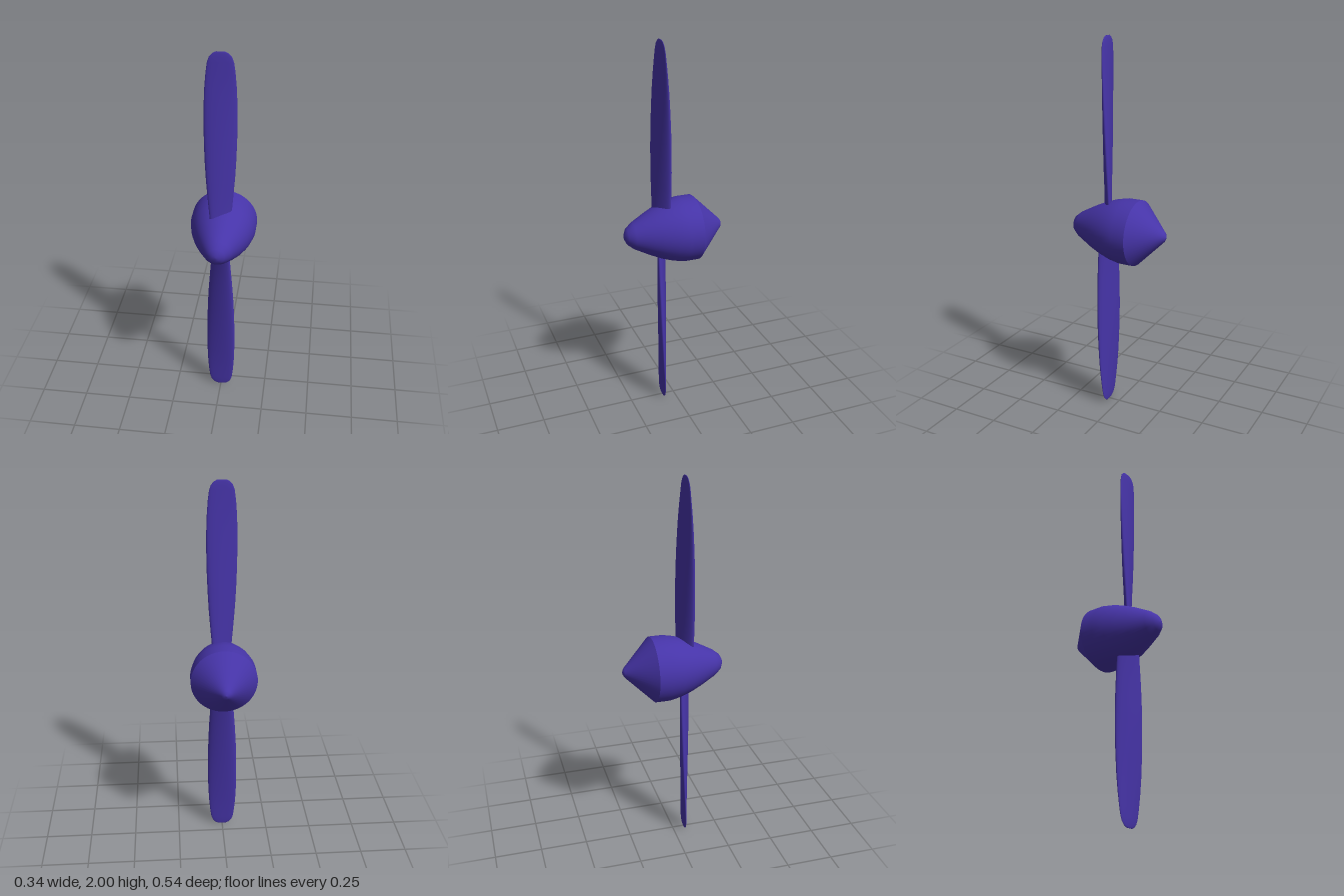
import * as THREE from 'three';

const material = new THREE.MeshStandardMaterial({ color: 0x4634a8 });

// Blade stations: height from the centre, half chord, half thickness, pitch in degrees
const STATIONS = [
  [0.05, 0.056, 0.017, 37],
  [0.15, 0.062, 0.018, 31],
  [0.25, 0.069, 0.020, 27],
  [0.35, 0.075, 0.022, 23],
  [0.45, 0.079, 0.022, 20],
  [0.55, 0.081, 0.021, 17],
  [0.65, 0.081, 0.019, 14],
  [0.75, 0.079, 0.016, 11],
  [0.83, 0.075, 0.013, 8],
  [0.90, 0.069, 0.010, 5],
  [0.95, 0.062, 0.008, 3],
  [0.975, 0.053, 0.006, 2],
  [0.992, 0.038, 0.004, 1],
  [1.0, 0.022, 0.002, 0],
  [1.0, 0.0001, 0.0001, 0],
];

// Twisted blade lofted through oval sections
function bladeGeometry(sides = 28) {
  const pos = [], index = [];
  STATIONS.forEach(([y, chord, thick, pitch], i) => {
    const a = THREE.MathUtils.degToRad(pitch);
    for (let j = 0; j < sides; j++) {
      const t = (j / sides) * Math.PI * 2;
      const u = chord * Math.cos(t), v = thick * Math.sin(t);
      pos.push(u * Math.cos(a) + v * Math.sin(a), y, -u * Math.sin(a) + v * Math.cos(a));
      if (i === 0) continue;
      const k = (j + 1) % sides, lo = (i - 1) * sides, hi = i * sides;
      index.push(lo + j, hi + j, lo + k, lo + k, hi + j, hi + k);
    }
  });
  const geo = new THREE.BufferGeometry();
  geo.setAttribute('position', new THREE.Float32BufferAttribute(pos, 3));
  geo.setIndex(index);
  geo.computeVertexNormals();
  return geo;
}

// Turned part whose axis points along +z; profile is [radius, z]
function turned(name, profile) {
  const geo = new THREE.LatheGeometry(profile.map(([r, z]) => new THREE.Vector2(r, z)), 48);
  geo.rotateX(Math.PI / 2);
  const mesh = new THREE.Mesh(geo, material);
  mesh.name = name;
  return mesh;
}

export function createModel() {
  const model = new THREE.Group();
  model.name = 'propeller';

  // Hub: rounded nose in front, cone behind, sharp edge between them
  const hub = new THREE.Group();
  hub.name = 'hub';
  hub.position.y = 1.01;
  hub.add(
    turned('rearCone', [[0, -0.27], [0.012, -0.266], [0.025, -0.259], [0.172, -0.112]]),
    turned('spinnerNose', [
      [0.172, -0.112], [0.172, -0.038], [0.16, 0.022], [0.14, 0.08], [0.115, 0.135],
      [0.07, 0.22], [0.043, 0.253], [0.018, 0.266], [0, 0.268],
    ]),
  );
  model.add(hub);

  // Two blades, half a turn apart around the shaft
  const geo = bladeGeometry();
  ['upperBlade', 'lowerBlade'].forEach((name, i) => {
    const blade = new THREE.Mesh(geo, material);
    blade.name = name;
    blade.position.set(0, 1, 0.065);
    blade.rotation.z = i * Math.PI;
    model.add(blade);
  });

  return model;
}
